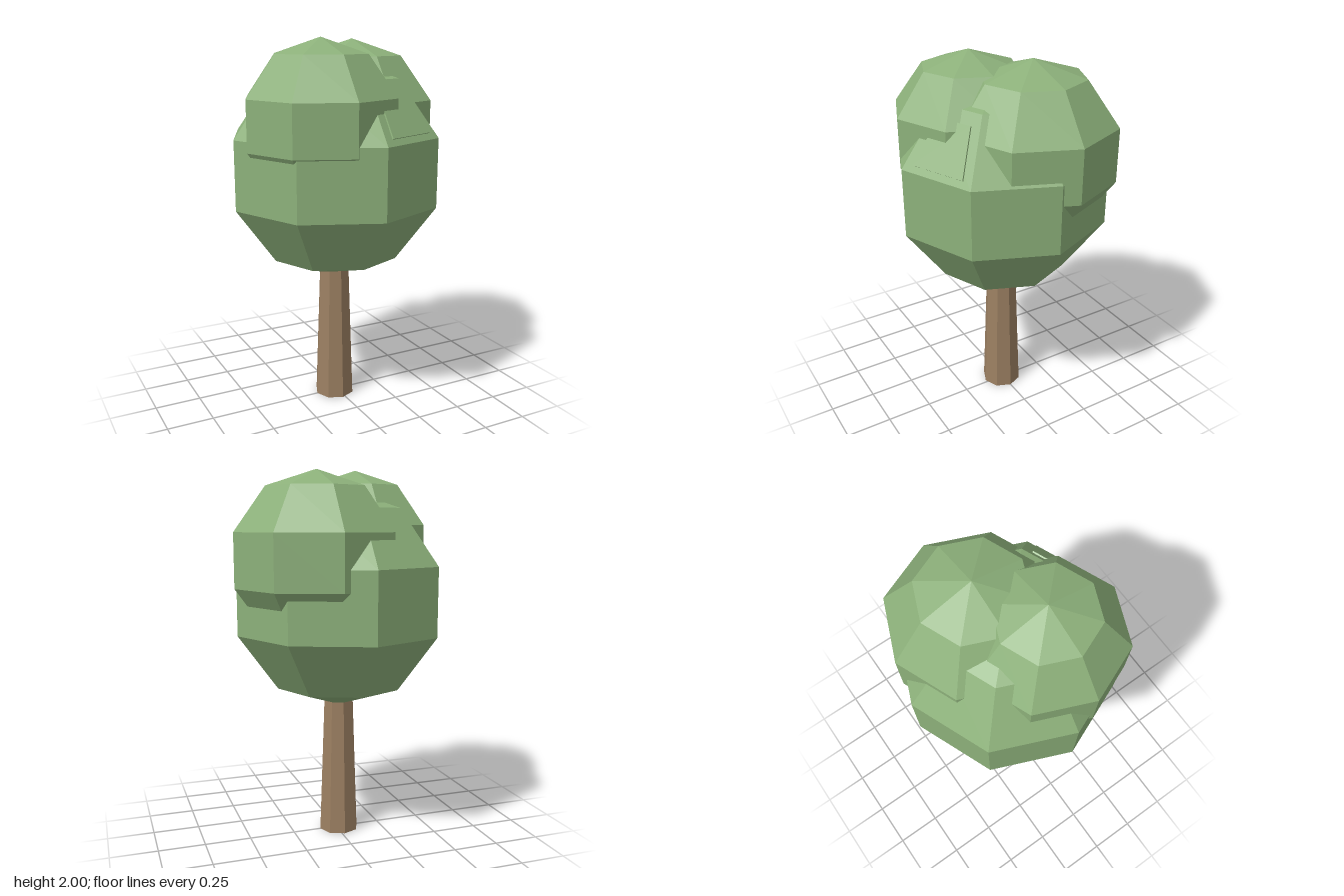
import * as THREE from 'three';

export function createModel() {
  const leaf = new THREE.MeshStandardMaterial({ color: 0x8cb07a, flatShading: true });
  leaf.name = 'leaf green';
  const bark = new THREE.MeshStandardMaterial({ color: 0x9c8062, flatShading: true, side: THREE.DoubleSide });
  bark.name = 'bark brown';

  const tree = new THREE.Group();
  tree.name = 'tree';
  const add = (name, geometry, material, x, y, z, parent = tree) => {
    const mesh = new THREE.Mesh(geometry, material);
    mesh.name = name;
    mesh.position.set(x, y, z);
    parent.add(mesh);
    return mesh;
  };

  // Tapered trunk, open at the foot
  add('trunk', new THREE.CylinderGeometry(0.078, 0.11, 0.9, 8, 1, true), bark, -0.015, 0.45, 0);

  // Three overlapping faceted leaf clumps
  const clump = (name, radius, x, y, z) =>
    add(name, new THREE.SphereGeometry(radius, 8, 5), leaf, x, y, z);
  const R = 0.592, cx = -0.017, cy = 1.315;
  clump('mainCrown', R, cx, cy, 0);
  clump('leftClump', 0.46, 0.137, 1.53, -0.09);
  clump('rightClump', 0.424, -0.147, 1.576, 0.11);

  // Thin raised leaf panel on the sloping front-left facet of the main crown
  const apothem = (a) => R * Math.sin(a) * Math.cos(Math.PI / 8);
  const low = Math.PI * 0.4, high = Math.PI * 0.2;
  const lean = Math.atan2(apothem(low) - apothem(high), R * (Math.cos(high) - Math.cos(low)));
  const outline = new THREE.Shape([
    new THREE.Vector2(-0.157, 0.036), new THREE.Vector2(0.157, 0.036),
    new THREE.Vector2(0.097, 0.29), new THREE.Vector2(-0.097, 0.29),
  ]);
  const facet = new THREE.Group();
  facet.name = 'leafPanelMount';
  facet.position.set(cx, cy + R * Math.cos(low), 0);
  facet.rotation.y = Math.PI / 8;
  tree.add(facet);
  const panel = add('leafPanel', new THREE.ExtrudeGeometry(outline, { depth: 0.008, bevelEnabled: false }),
    leaf, 0, 0, apothem(low), facet);
  panel.rotation.x = -lean;

  return tree;
}
